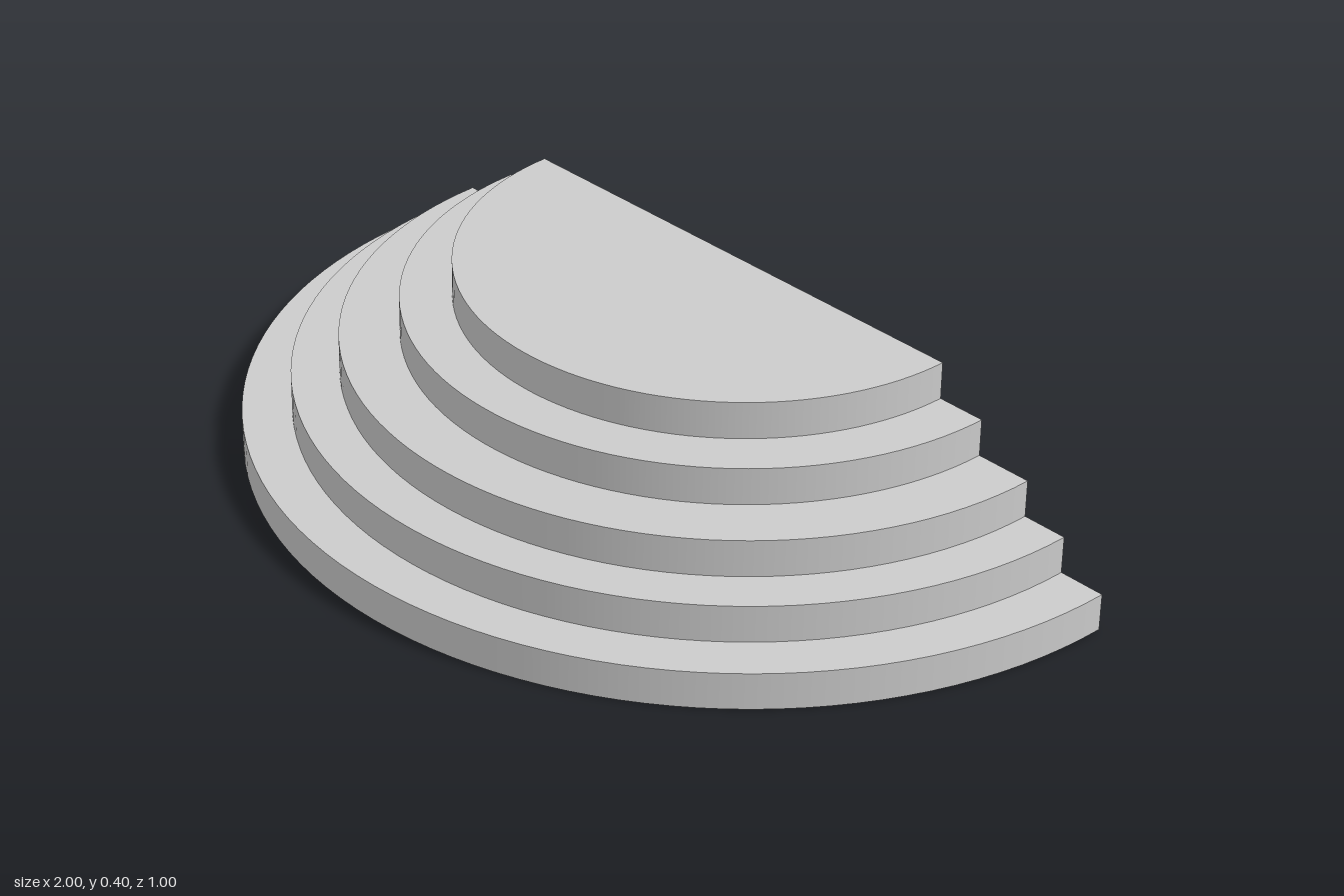
import * as THREE from 'three';

const STEP_HEIGHT = 0.08;
const RADII = [1, 0.898, 0.799, 0.675, 0.568];
const SEGMENTS = 64;
const BACK_Z = -0.5;

export function createModel() {
  const group = new THREE.Group();
  group.name = 'semicircularSteps';
  const material = new THREE.MeshStandardMaterial({ color: 0xcccccc, side: THREE.DoubleSide });

  RADII.forEach((radius, i) => {
    const step = new THREE.Group();
    step.name = `step${i + 1}`;
    step.position.set(0, i * STEP_HEIGHT, BACK_Z);

    // Curved half-round riser, open at the back and underneath
    const riser = new THREE.Mesh(
      new THREE.CylinderGeometry(radius, radius, STEP_HEIGHT, SEGMENTS, 1, true, -Math.PI / 2, Math.PI),
      material
    );
    riser.name = 'riser';
    riser.position.y = STEP_HEIGHT / 2;

    // Flat tread reaching back to the next riser; the top one is a full half disc
    const inner = RADII[i + 1];
    const treadGeometry = inner
      ? new THREE.RingGeometry(inner, radius, SEGMENTS, 1, Math.PI, Math.PI)
      : new THREE.CircleGeometry(radius, SEGMENTS, Math.PI, Math.PI);
    treadGeometry.rotateX(-Math.PI / 2);
    const tread = new THREE.Mesh(treadGeometry, material);
    tread.name = inner ? 'tread' : 'topPlatform';
    tread.position.y = STEP_HEIGHT;

    step.add(riser, tread);
    group.add(step);
  });

  return group;
}
